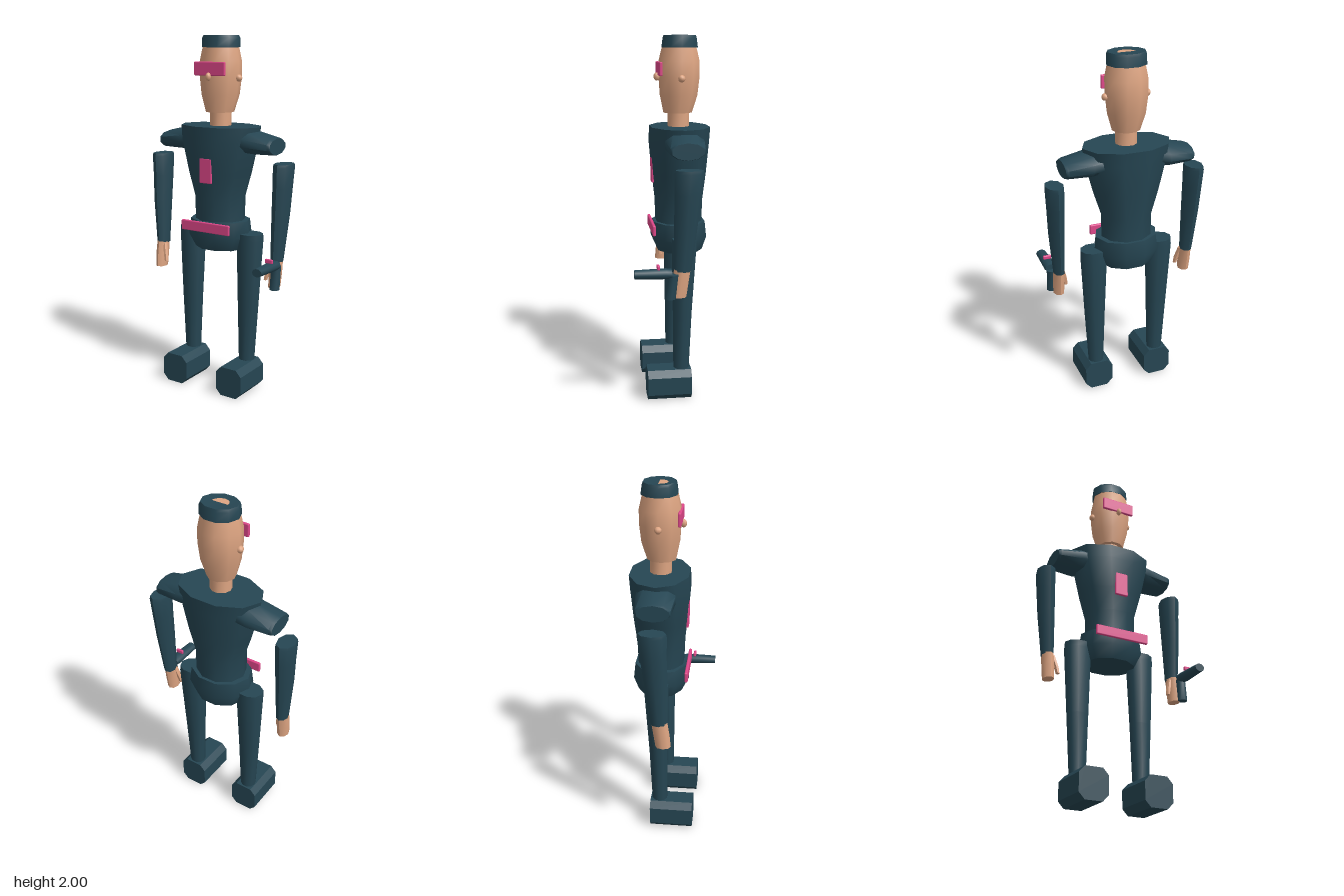
import * as THREE from 'three';
import { toCreasedNormals } from 'three/addons/utils/BufferGeometryUtils.js';
import { RoundedBoxGeometry } from 'three/addons/geometries/RoundedBoxGeometry.js';

// Closed loft through elliptical rings [y, cx, cz, rx, rz], bottom to top
function loft(rings, n = 10, dip = 0) {
  const pos = [], idx = [];
  for (const [y, cx, cz, rx, rz] of rings) {
    for (let i = 0; i < n; i++) {
      const a = (i / n) * Math.PI * 2;
      pos.push(cx + rx * Math.cos(a), y, cz - rz * Math.sin(a));
    }
  }
  const last = (rings.length - 1) * n;
  const bottom = rings.length * n, top = bottom + 1;
  const r0 = rings[0], r1 = rings[rings.length - 1];
  pos.push(r0[1], r0[0], r0[2], r1[1], r1[0] - dip, r1[2]);
  for (let i = 0; i < n; i++) {
    const j = (i + 1) % n;
    for (let k = 0; k < last; k += n) {
      idx.push(k + i, k + j, k + n + j, k + i, k + n + j, k + n + i);
    }
    idx.push(bottom, j, i, top, last + i, last + j);
  }
  const g = new THREE.BufferGeometry();
  g.setAttribute('position', new THREE.Float32BufferAttribute(pos, 3));
  g.setIndex(idx);
  return toCreasedNormals(g, 0.9);
}

function material(name, color) {
  const m = new THREE.MeshStandardMaterial({ color });
  m.name = name;
  return m;
}

export function createModel() {
  const model = new THREE.Group();
  model.name = 'figure';
  const suit = material('dark teal suit', 0x264653);
  const skin = material('tan skin', 0xdea582);
  const pink = material('pink trim', 0xe0488a);

  const add = (name, geometry, mat, x = 0, y = 0, z = 0) => {
    const mesh = new THREE.Mesh(geometry, mat);
    mesh.name = name;
    mesh.position.set(x, y, z);
    model.add(mesh);
    return mesh;
  };
  const plate = (w, h, d) => new RoundedBoxGeometry(w, h, d, 1, 0.006);

  // Torso and hips
  add('torso', loft([
    [0.93, 0, -0.06, 0.145, 0.13],
    [1.11, 0, -0.06, 0.145, 0.137],
    [1.25, 0, -0.06, 0.19, 0.153],
    [1.43, 0, -0.06, 0.238, 0.168],
    [1.51, 0, -0.065, 0.25, 0.168],
  ]), suit);
  add('hips', loft([
    [0.815, 0, -0.065, 0.15, 0.13],
    [0.89, 0, -0.06, 0.19, 0.16],
    [0.98, 0, -0.06, 0.178, 0.15],
  ]), suit);
  add('belt', plate(0.32, 0.058, 0.018), pink, 0, 0.952, 0.092);
  add('chestBadge', plate(0.08, 0.14, 0.018), pink, 0, 1.27, 0.085);

  // Head
  add('neck', loft([[1.48, 0, -0.06, 0.06, 0.06], [1.62, 0, -0.06, 0.06, 0.06]]), skin);
  add('head', loft([
    [1.585, 0, -0.055, 0.078, 0.08],
    [1.68, 0, -0.06, 0.106, 0.105],
    [1.78, 0, -0.062, 0.118, 0.114],
    [1.86, 0, -0.062, 0.118, 0.114],
    [1.95, 0, -0.062, 0.1, 0.092],
  ]), skin);
  add('hair', loft([
    [1.935, 0, -0.065, 0.11, 0.1],
    [1.985, 0, -0.065, 0.11, 0.093],
    [2.0, 0, -0.065, 0.102, 0.088],
  ], 10, 0.012), suit);
  const crown = add('crownPatch', new THREE.CircleGeometry(0.048, 8, Math.PI, Math.PI), skin, 0, 1.995, -0.067);
  crown.rotation.x = -Math.PI / 2;
  add('visor', plate(0.2, 0.074, 0.018), pink, 0, 1.822, 0.047);
  const nose = add('nose', new THREE.SphereGeometry(0.015, 8, 6), skin, 0, 1.78, 0.06);
  nose.scale.set(1, 1.5, 1.2);

  for (const s of [1, -1]) {
    const side = s > 0 ? 'left' : 'right';
    add(side + 'Ear', new THREE.SphereGeometry(0.02, 8, 6), skin, s * 0.117, 1.772, -0.062);

    // Short sleeve reaching out sideways
    const sleeve = loft([
      [0.14, -s * 1.44, -0.067, 0.068, 0.11],
      [0.215, -s * 1.428, -0.067, 0.067, 0.11],
      [0.35, -s * 1.415, -0.063, 0.05, 0.096],
      [0.366, -s * 1.414, -0.063, 0.045, 0.088],
    ], 10);
    sleeve.rotateZ(-s * Math.PI / 2);
    add(side + 'Sleeve', sleeve, suit);

    // Arm, hand and thumb
    add(side + 'Arm', loft([
      [0.79, s * 0.391, -0.032, 0.033, 0.045],
      [1.05, s * 0.402, -0.047, 0.046, 0.063],
      [1.2, s * 0.405, -0.057, 0.05, 0.07],
      [1.31, s * 0.408, -0.062, 0.053, 0.077],
      [1.327, s * 0.408, -0.062, 0.05, 0.073],
    ], 8), suit);
    add(side + 'Hand', loft([
      [0.65, s * 0.39, -0.01, 0.031, 0.042],
      [0.72, s * 0.391, -0.018, 0.034, 0.044],
      [0.8, s * 0.391, -0.03, 0.032, 0.044],
    ], 8), skin);
    add(side + 'Thumb', loft([
      [0.685, s * 0.343, 0.005, 0.011, 0.013],
      [0.72, s * 0.349, 0.0, 0.014, 0.016],
      [0.79, s * 0.368, -0.015, 0.013, 0.016],
    ], 6), skin);

    // Leg
    add(side + 'Leg', loft([
      [0.16, s * 0.189, -0.053, 0.045, 0.044],
      [0.5, s * 0.193, -0.058, 0.062, 0.053],
      [0.88, s * 0.196, -0.067, 0.079, 0.068],
      [0.914, s * 0.196, -0.067, 0.077, 0.066],
    ], 10), suit);

    // Eight-sided boot block running front to back
    const outline = new THREE.Shape([
      [0.05, 0], [0.083, 0.035], [0.083, 0.135], [0.05, 0.17],
      [-0.05, 0.17], [-0.083, 0.135], [-0.083, 0.035], [-0.05, 0],
    ].map(([x, y]) => new THREE.Vector2(x, y)));
    add(side + 'Boot', new THREE.ExtrudeGeometry(outline, { depth: 0.245, bevelEnabled: false }),
      suit, s * 0.187, 0, -0.105);
  }

  // Hand-held device in the left hand
  const barrel = loft([
    [0, 0, 0, 0.032, 0.024],
    [0.03, 0, 0, 0.036, 0.028],
    [0.195, 0, 0, 0.029, 0.023],
  ], 10);
  barrel.rotateX(Math.PI / 2);
  add('deviceBarrel', barrel, suit, 0.418, 0.788, 0.03);
  add('deviceGrip', loft([
    [0.65, 0.418, 0.036, 0.028, 0.028],
    [0.78, 0.418, 0.022, 0.028, 0.028],
  ], 8), suit);
  add('deviceSight', plate(0.048, 0.024, 0.016), pink, 0.418, 0.823, 0.1);

  return model;
}
